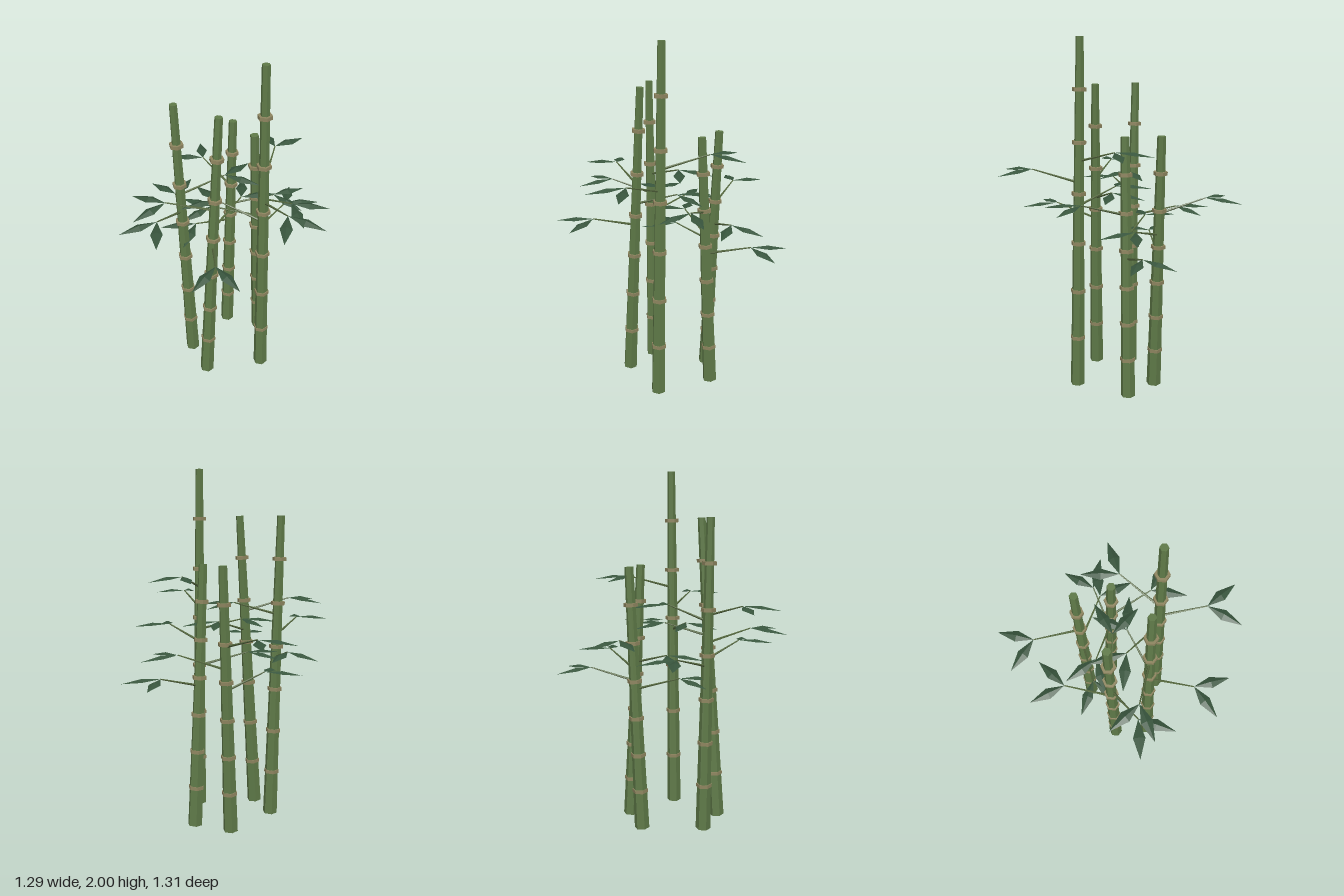
import * as THREE from 'three';

const UP = new THREE.Vector3(0, 1, 0);
const mat = (name, color, side = THREE.FrontSide) => {
  const m = new THREE.MeshStandardMaterial({ color, flatShading: true, side });
  m.name = name;
  return m;
};

// Each sprig: [fork x, fork y, fork z, heading of the leaves in degrees from +x towards +z]
const STALKS = [
  { name: 'tallFrontStalk', base: [0.03, 0.22], top: [0.043, 0.187], height: 2.0, tip: 0.022, step: 0.285,
    sprigs: [[0.27, 1.41, 0.064, -29], [-0.043, 1.29, 0.443, 108], [-0.07, 1.16, -0.046, -116]] },
  { name: 'backRightStalk', base: [-0.185, -0.178], top: [-0.214, -0.21], height: 1.74, tip: 0.022, step: 0.248,
    sprigs: [[0.025, 1.265, -0.085, 30], [-0.43, 1.15, -0.138, 166], [-0.06, 1.02, -0.42, -57]] },
  { name: 'frontRightStalk', base: [-0.25, 0.025], top: [-0.145, 0.053], height: 1.74, tip: 0.022, step: 0.248,
    sprigs: [[-0.385, 1.265, -0.112, -143], [0.057, 1.15, 0.014, -8], [-0.358, 1.02, 0.238, 133]] },
  { name: 'leftStalk', base: [0.26, -0.02], top: [0.19, -0.018], height: 1.48, tip: 0.024, step: 0.2105,
    sprigs: [[0.23, 1.13, 0.238, 85], [0.02, 1.0, -0.195, -138], [0.486, 0.885, -0.02, 0]] },
  { name: 'backLeftStalk', base: [0.16, -0.212], top: [0.22, -0.215], height: 1.48, tip: 0.024, step: 0.2105,
    sprigs: [[0.223, 1.125, -0.48, -87], [0.37, 1.0, -0.02, 51], [-0.057, 0.885, -0.25, -173]] },
];

// Six-sided cylinder with corners on the x axis, running from a to b
function rod(a, b, r0, r1, sides, material, name) {
  const dir = b.clone().sub(a);
  const geo = new THREE.CylinderGeometry(r1, r0, dir.length(), sides);
  geo.rotateY(Math.PI / 2);
  const mesh = new THREE.Mesh(geo, material);
  mesh.position.copy(a).add(b).multiplyScalar(0.5);
  mesh.quaternion.setFromUnitVectors(UP, dir.normalize());
  mesh.name = name;
  return mesh;
}

// Diamond leaf along +x, folded along a raised midrib and drooping at the tip
function leafGeometry() {
  const stem = [0, 0, 0], rib = [0.1, 0.004, 0], tip = [0.212, -0.022, 0];
  const near = [0.1, -0.01, 0.033], far = [0.1, -0.01, -0.033];
  const geo = new THREE.BufferGeometry();
  geo.setAttribute('position', new THREE.Float32BufferAttribute([
    stem, near, rib, near, tip, rib,
    stem, rib, far, rib, tip, far,
  ].flat(), 3));
  geo.computeVertexNormals();
  return geo;
}

export function createModel() {
  const stalkMat = mat('stalkGreen', 0x5f7a48);
  const nodeMat = mat('nodeTan', 0x8f8660);
  const twigMat = mat('twigGreen', 0x56693f);
  const leafMat = mat('leafGreen', 0x38553d, THREE.DoubleSide);
  const leafGeo = leafGeometry();
  const model = new THREE.Group();
  model.name = 'bambooClump';

  for (const s of STALKS) {
    const group = new THREE.Group();
    group.name = s.name;
    const base = new THREE.Vector3(s.base[0], 0.003, s.base[1]);
    const top = new THREE.Vector3(s.top[0], s.height, s.top[1]);
    const at = y => base.clone().lerp(top, (y - base.y) / (top.y - base.y));

    // Tapered stalk
    group.add(rod(base, top, 0.042, s.tip, 6, stalkMat, 'stalk'));

    // Raised rings at the joints
    for (let k = 1; k <= 6; k++) {
      const y = 0.014 + k * s.step, r = 0.0445 - k * 0.0008;
      group.add(rod(at(y - 0.01), at(y + 0.01), r, r, 6, nodeMat, 'nodeRing'));
    }

    // Twigs, each ending in a pair of leaves
    for (const [x, y, z, heading] of s.sprigs) {
      const fork = new THREE.Vector3(x, y, z);
      group.add(rod(at(y - 0.075), fork, 0.0075, 0.0035, 5, twigMat, 'twig'));
      for (const spread of [-35, 35]) {
        const leaf = new THREE.Mesh(leafGeo, leafMat);
        leaf.position.copy(fork);
        leaf.rotation.y = -THREE.MathUtils.degToRad(heading + spread);
        leaf.name = 'leaf';
        group.add(leaf);
      }
    }
    model.add(group);
  }
  return model;
}
